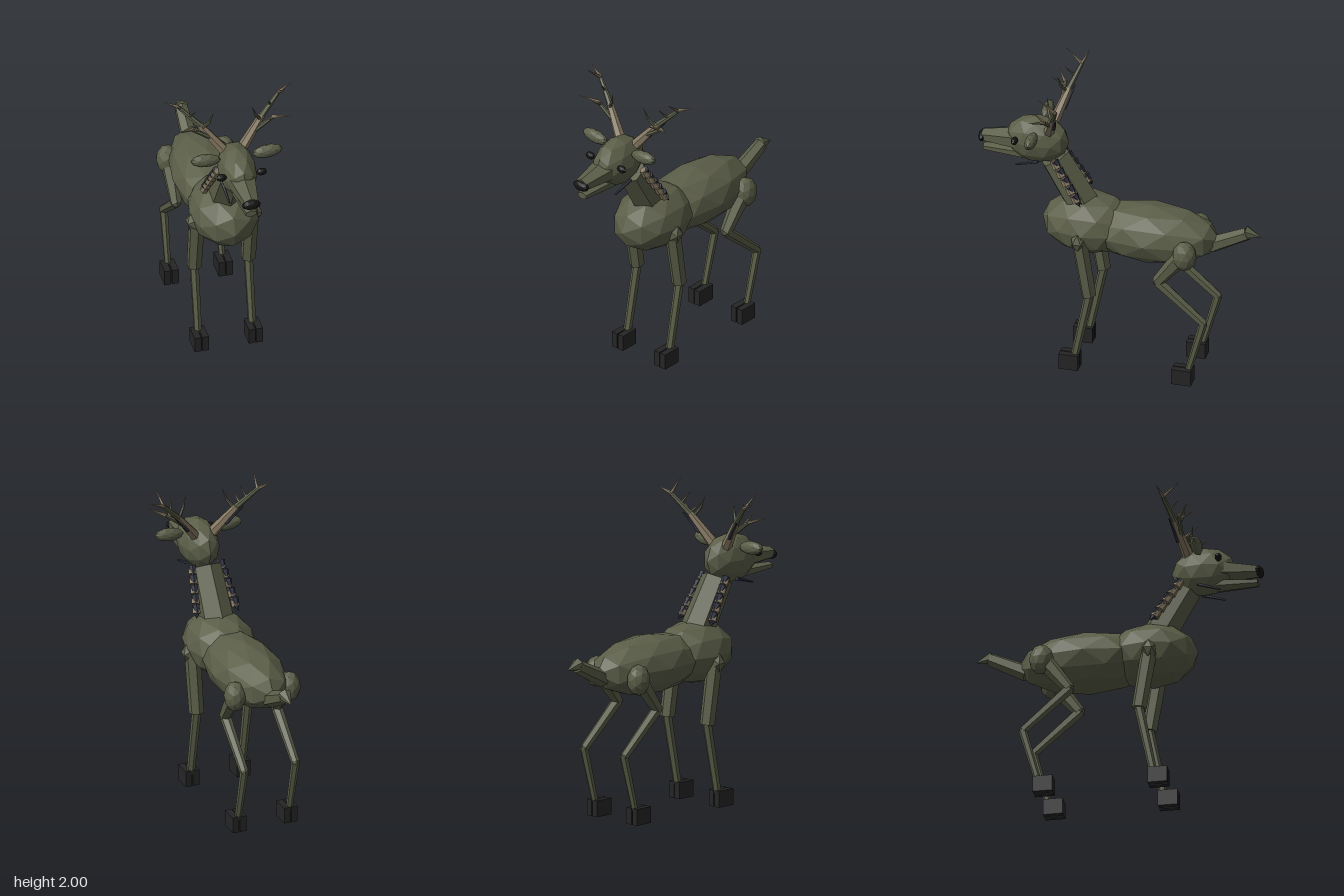
import * as THREE from 'three';

const flat = (name, color) => {
  const m = new THREE.MeshStandardMaterial({ color, flatShading: true });
  m.name = name;
  return m;
};

export function createModel() {
  const root = new THREE.Group();
  root.name = 'deer';
  const hide = flat('olive hide', 0x5b5e48);
  const antlerTan = flat('antler tan', 0x83765f);
  const slate = flat('dark slate', 0x343645);
  const hoofDark = flat('hoof charcoal', 0x252525);
  const black = flat('eye and nose black', 0x141414);
  const pale = flat('pale glint', 0xb8b2a4);

  const add = (name, geo, mat, parent = root) => {
    const mesh = new THREE.Mesh(geo, mat);
    mesh.name = name;
    parent.add(mesh);
    return mesh;
  };
  const group = (name) => {
    const g = new THREE.Group();
    g.name = name;
    root.add(g);
    return g;
  };
  // faceted ellipsoid
  const blob = (name, pos, size, mat, parent, detail = 1) => {
    const mesh = add(name, new THREE.IcosahedronGeometry(1, detail), mat, parent);
    mesh.position.set(...pos);
    mesh.scale.set(...size);
    return mesh;
  };
  // tapered six-sided bone from a to b
  const bone = (name, a, b, ra, rb, mat, parent, sides = 6) => {
    const p = new THREE.Vector3(...a), q = new THREE.Vector3(...b);
    const dir = q.clone().sub(p);
    const mesh = add(name, new THREE.CylinderGeometry(rb, ra, dir.length(), sides), mat, parent);
    mesh.position.copy(p).add(q).multiplyScalar(0.5);
    mesh.quaternion.setFromUnitVectors(new THREE.Vector3(0, 1, 0), dir.normalize());
    return mesh;
  };

  // torso, neck and tail
  blob('chest', [0, 0.97, 0.2], [0.22, 0.2, 0.3], hide);
  blob('hindquarters', [0, 0.955, -0.2], [0.22, 0.19, 0.45], hide);
  bone('neck', [0, 1.08, 0.23], [0, 1.4, 0.42], 0.112, 0.1, hide);
  bone('tail', [0, 0.92, -0.59], [0, 1.035, -0.825], 0.055, 0.043, hide);
  bone('tailTip', [0, 1.045, -0.81], [0, 1.02, -0.915], 0.045, 0.001, hide);

  // head
  const head = group('head');
  blob('skull', [0, 1.52, 0.535], [0.12, 0.16, 0.205], hide, head);
  const snout = bone('snout', [0, 1.508, 0.66], [0, 1.495, 0.885], 0.072, 0.04, hide, head);
  snout.scale.x = 1.3;
  const jaw = bone('lowerJaw', [0, 1.415, 0.62], [0, 1.415, 0.88], 0.038, 0.023, hide, head);
  jaw.scale.x = 1.7;
  blob('nose', [0, 1.49, 0.887], [0.061, 0.034, 0.028], black, head);

  for (const s of [-1, 1]) {
    const side = s > 0 ? 'left' : 'right';

    // ear and eye
    const ear = blob(side + 'Ear', [s * 0.2, 1.612, 0.523], [0.098, 0.044, 0.036], hide, head);
    ear.rotation.z = s * 0.08;
    blob(side + 'Eye', [s * 0.13, 1.555, 0.65], [0.034, 0.025, 0.022], black, head);
    blob(side + 'EyeGlint', [s * 0.16, 1.561, 0.652], [0.006, 0.007, 0.007], pale, head, 0);
    bone(side + 'CheekSpike', [s * 0.085, 1.4, 0.51], [s * 0.08, 1.355, 0.655], 0.011, 0.006, slate, head);

    // antler: thick beam, thin upper beam and tines
    const antler = group(side + 'Antler');
    const tine = (name, a, b, ra, rb, mat) =>
      bone(name, [s * a[0], a[1], a[2]], [s * b[0], b[1], b[2]], ra, rb, mat, antler);
    tine('lowerBeam', [0.05, 1.6, 0.45], [0.2, 1.79, 0.385], 0.036, 0.022, antlerTan);
    tine('upperBeam', [0.19, 1.78, 0.39], [0.33, 1.92, 0.33], 0.02, 0.012, hide);
    tine('beamTip', [0.325, 1.915, 0.332], [0.415, 1.953, 0.308], 0.013, 0.001, antlerTan);
    tine('topTine', [0.32, 1.91, 0.335], [0.335, 2, 0.44], 0.012, 0.001, antlerTan);
    tine('outerBranch', [0.13, 1.7, 0.42], [0.27, 1.8, 0.425], 0.016, 0.011, hide);
    tine('outerTine', [0.26, 1.795, 0.425], [0.36, 1.835, 0.495], 0.013, 0.001, antlerTan);
    tine('frontTine', [0.24, 1.785, 0.42], [0.23, 1.835, 0.505], 0.01, 0.001, antlerTan);
    tine('innerBranch', [0.19, 1.77, 0.395], [0.15, 1.83, 0.425], 0.012, 0.009, hide);
    tine('innerTine', [0.152, 1.825, 0.422], [0.125, 1.905, 0.44], 0.01, 0.001, hide);
    tine('upperInnerTine', [0.26, 1.85, 0.36], [0.235, 1.92, 0.42], 0.01, 0.001, hide);
    tine('beamSpike', [0.13, 1.68, 0.395], [0.235, 1.8, 0.355], 0.012, 0.004, slate);

    // tapered bead strand hanging beside the neck
    const strand = group(side + 'NeckStrand');
    const at = (t) => [s * (0.095 + 0.04 * t), 1.43 - 0.26 * t, 0.41 - 0.17 * t];
    for (let i = 0; i < 5; i++) {
      const a = at(i / 5), b = at((i + 0.9) / 5);
      bone('strandBead', a, b, 0.021, 0.029, antlerTan, strand);
      const shift = (p, y, z) => [p[0] + s * 0.004, p[1] + y, p[2] + z];
      bone('strandSpike', shift(a, 0, -0.012), shift(b, -0.012, -0.03), 0.027, 0.002, slate, strand);
    }
    bone('strandTip', at(0.93), [s * 0.145, 1.15, 0.22], 0.026, 0.001, slate, strand);

    // legs: chains of [y, z, radius at start, radius at end]
    const x = s * 0.175;
    const leg = (name, joints, radii, hoofZ) => {
      const g = group(side + name);
      radii.forEach(([ra, rb], i) => {
        bone(name + 'Segment' + (i + 1), [x, ...joints[i]], [x, ...joints[i + 1]], ra, rb, hide, g);
        if (i > 0) blob(name + 'Joint' + i, [x, ...joints[i]], [ra, ra, ra], hide, g, 0);
      });
      for (const k of [-1, 1]) {
        const toe = add('hoofToe', new THREE.BoxGeometry(0.042, 0.105, 0.125), hoofDark, g);
        toe.position.set(x + k * 0.0245, 0.0525, hoofZ);
      }
      const web = add('hoofCore', new THREE.BoxGeometry(0.012, 0.085, 0.1), hoofDark, g);
      web.position.set(x, 0.05, hoofZ);
      return g;
    };
    const fore = leg('FrontLeg', [[0.95, 0.222], [0.535, 0.155], [0.08, 0.247]],
      [[0.052, 0.048], [0.03, 0.026]], 0.278);
    blob('shoulder', [s * 0.19, 0.925, 0.22], [0.06, 0.068, 0.052], hide, fore, 0);
    const hind = leg('HindLeg', [[0.93, -0.46], [0.705, -0.29], [0.445, -0.585], [0.08, -0.485]],
      [[0.06, 0.038], [0.036, 0.028], [0.027, 0.021]], -0.452);
    blob('hip', [s * 0.185, 0.92, -0.465], [0.07, 0.1, 0.078], hide, hind, 1);
  }

  return root;
}
